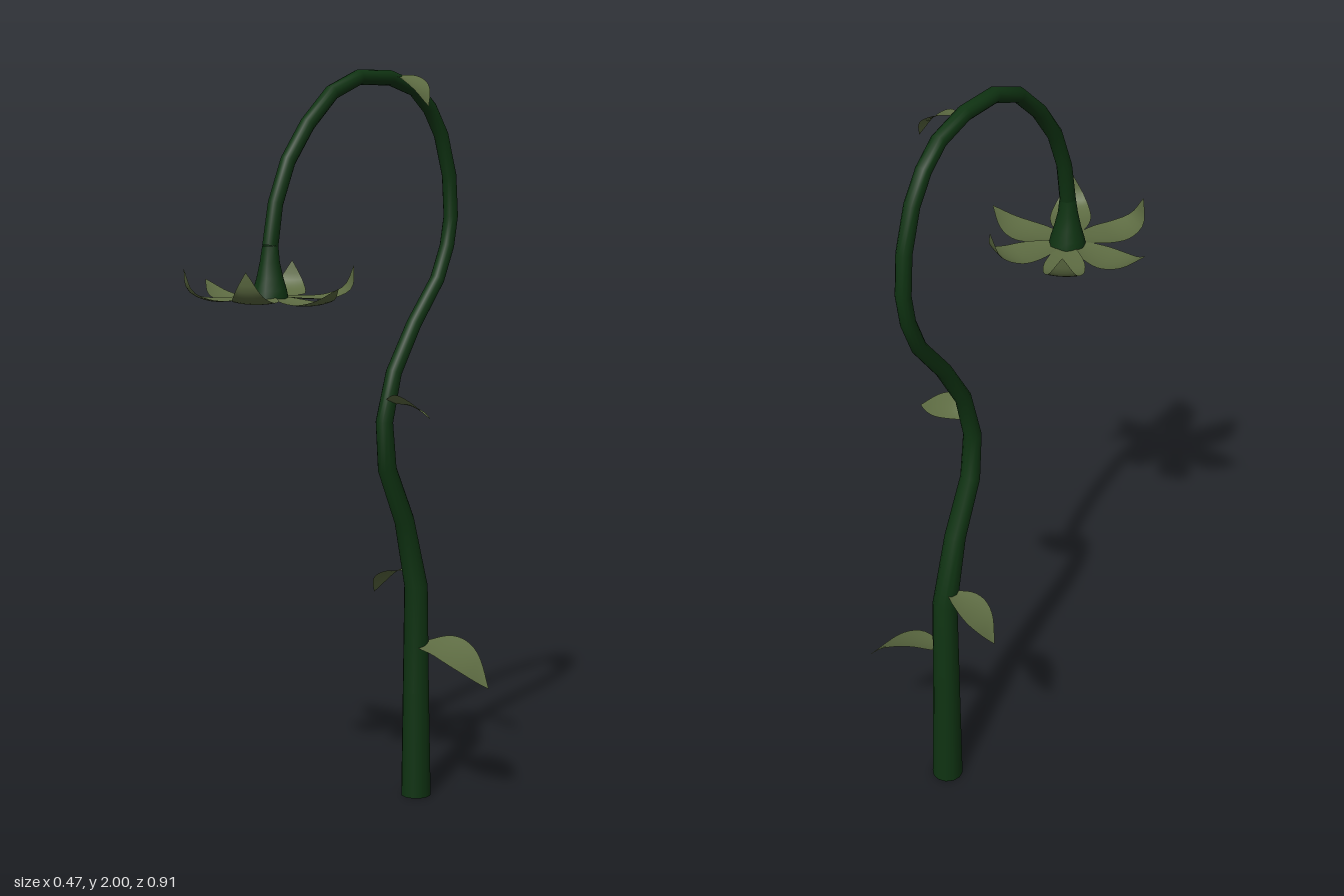
import * as THREE from 'three';
import { mergeVertices } from 'three/addons/utils/BufferGeometryUtils.js';

const green = new THREE.MeshStandardMaterial({ color: 0x0f3312, side: THREE.DoubleSide });
const olive = new THREE.MeshStandardMaterial({ color: 0x5d6b42, side: THREE.DoubleSide });

// Stem centre line from ground to flower: [z, y, radius]
const STEM = [
  [-0.305, 0, 0.042], [-0.302, 0.3, 0.037], [-0.3, 0.6, 0.033], [-0.25, 0.79, 0.028],
  [-0.18, 0.94, 0.026], [-0.168, 1.07, 0.024], [-0.205, 1.2, 0.022], [-0.285, 1.325, 0.021],
  [-0.38, 1.44, 0.02], [-0.42, 1.53, 0.02], [-0.435, 1.61, 0.02], [-0.427, 1.72, 0.02],
  [-0.392, 1.83, 0.02], [-0.345, 1.9, 0.02], [-0.285, 1.95, 0.02], [-0.185, 1.979, 0.02],
  [-0.065, 1.979, 0.02], [0.035, 1.94, 0.02], [0.125, 1.86, 0.02], [0.195, 1.77, 0.02],
  [0.24, 1.665, 0.02], [0.259, 1.56, 0.021],
];

// Flared base of the flower, same format
const BELL = [
  [0.259, 1.56, 0.021], [0.261, 1.52, 0.026], [0.261, 1.48, 0.035], [0.261, 1.45, 0.044],
  [0.261, 1.43, 0.048],
];

// Tapered tube: a cylinder whose rings are moved onto a path in the yz plane
function loft(name, rings, sides = 12) {
  const n = rings.length;
  let geo = new THREE.CylinderGeometry(1, 1, 1, sides, n - 1, true);
  const pos = geo.attributes.position;
  for (let i = 0; i < pos.count; i++) {
    const k = n - 1 - Math.floor(i / (sides + 1));
    const [z, y, r] = rings[k];
    const a = rings[Math.max(k - 1, 0)], b = rings[Math.min(k + 1, n - 1)];
    const t = new THREE.Vector2(b[0] - a[0], b[1] - a[1]).normalize();
    const lx = pos.getX(i) * r, lz = pos.getZ(i) * r;
    pos.setXYZ(i, lx, y - t.x * lz, z + t.y * lz);
  }
  geo.deleteAttribute('uv');
  geo.deleteAttribute('normal');
  geo = mergeVertices(geo, 1e-5);
  geo.computeVertexNormals();
  const mesh = new THREE.Mesh(geo, green);
  mesh.name = name;
  return mesh;
}

// Pointed blade along a curved midrib; side is the direction of its half width
function blade(name, midrib, side, start = 0.1, cup = 0.006) {
  const curve = new THREE.CatmullRomCurve3(midrib.map(p => new THREE.Vector3(...p)));
  const across = new THREE.Vector3(...side);
  const geo = new THREE.PlaneGeometry(2, 1, 6, 14);
  const pos = geo.attributes.position;
  for (let i = 0; i < pos.count; i++) {
    const t = pos.getY(i) + 0.5, s = pos.getX(i);
    const w = Math.sin(Math.PI * (start + (1 - start) * t));
    const p = curve.getPointAt(t).addScaledVector(across, s * w);
    pos.setXYZ(i, p.x, p.y + cup * w * (s * s - 0.5), p.z);
  }
  geo.computeVertexNormals();
  const mesh = new THREE.Mesh(geo, olive);
  mesh.name = name;
  return mesh;
}

function disc(name, radius, y, z) {
  const mesh = new THREE.Mesh(new THREE.CircleGeometry(radius, 12), green);
  mesh.name = name;
  mesh.rotation.x = Math.PI / 2;
  mesh.position.set(0, y, z);
  return mesh;
}

export function createModel() {
  const model = new THREE.Group();
  model.name = 'droopingFlower';

  model.add(loft('stem', STEM), disc('stemBase', 0.042, 0, -0.305));

  // Leaves along the stem
  model.add(
    blade('lowerLeaf', [[0.02, 0.435, -0.3], [0.09, 0.44, -0.312], [0.16, 0.41, -0.325], [0.23, 0.34, -0.34]],
      [-0.012, 0.018, -0.06]),
    blade('middleLeaf', [[-0.02, 0.64, -0.297], [-0.07, 0.635, -0.3], [-0.125, 0.605, -0.307], [-0.17, 0.553, -0.315]],
      [0, 0, 0.049]),
    blade('upperLeaf', [[0.01, 1.125, -0.175], [0.06, 1.13, -0.174], [0.115, 1.118, -0.17], [0.167, 1.093, -0.165]],
      [0, -0.019, -0.034]),
    blade('topLeaf', [[0.005, 1.985, -0.21], [0.045, 1.977, -0.212], [0.085, 1.95, -0.214], [0.11, 1.905, -0.214]],
      [0, 0.004, -0.036]),
  );

  // Flower: bell and six petals; the front and back pairs curl up more
  const flower = new THREE.Group();
  flower.name = 'flower';
  flower.add(loft('bell', BELL), disc('flowerCentre', 0.044, 1.447, 0.261));
  const flat = [[0.035, 1.433], [0.09, 1.423], [0.14, 1.42], [0.19, 1.432], [0.237, 1.466]];
  const curled = [[0.035, 1.433], [0.1, 1.428], [0.16, 1.43], [0.205, 1.452], [0.221, 1.51]];
  for (let i = 0; i < 6; i++) {
    const a = i * Math.PI / 3, c = Math.cos(a), s = Math.sin(a);
    const midrib = (i % 3 ? curled : flat).map(([r, y]) => [r * c, y, 0.261 + r * s]);
    flower.add(blade('petal', midrib, [-s * 0.054, 0, c * 0.054], 0.14));
  }
  model.add(flower);
  return model;
}
